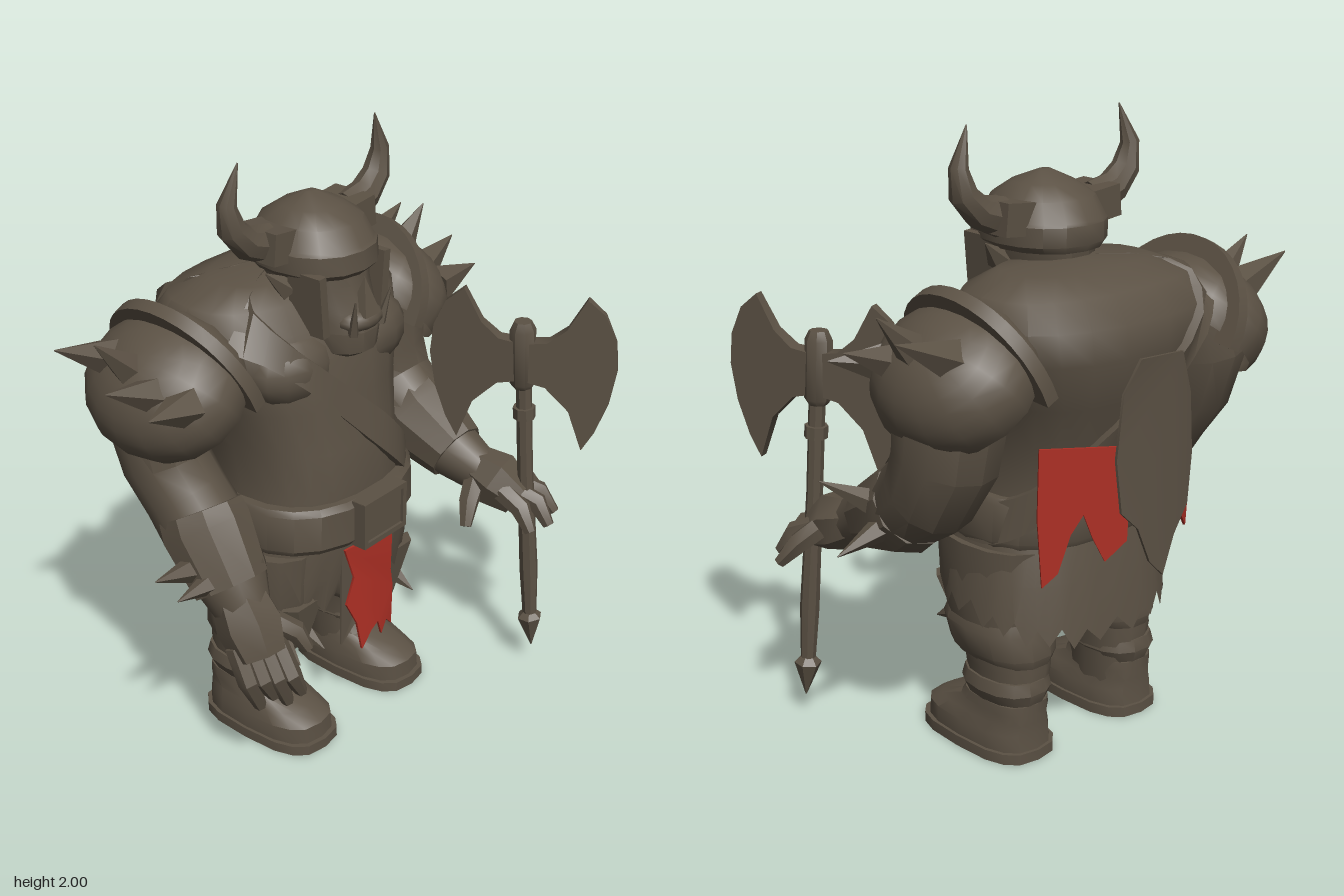
import * as THREE from 'three';
import { toCreasedNormals } from 'three/addons/utils/BufferGeometryUtils.js';

const brown = new THREE.MeshStandardMaterial({ color: 0x5b5144, side: THREE.DoubleSide });
brown.name = 'dark brown';
const red = new THREE.MeshStandardMaterial({ color: 0xac2f24, side: THREE.DoubleSide });
red.name = 'red cloth';
const V = (x, y, z) => new THREE.Vector3(x, y, z);

// Skin a list of equal rings into a capped solid
function skin(rings) {
  const n = rings[0].length, pos = [], idx = [];
  rings.forEach(r => r.forEach(p => pos.push(p.x, p.y, p.z)));
  for (let i = 0; i < rings.length - 1; i++) for (let j = 0; j < n; j++) {
    const a = i * n + j, b = i * n + (j + 1) % n;
    idx.push(a, b, a + n, b, b + n, a + n);
  }
  [0, rings.length - 1].forEach((k, end) => {
    const c = rings[k].reduce((s, p) => s.add(p), V(0, 0, 0)).divideScalar(n);
    const ci = pos.length / 3;
    pos.push(c.x, c.y, c.z);
    for (let j = 0; j < n; j++) {
      const a = k * n + j, b = k * n + (j + 1) % n;
      if (end) idx.push(a, b, ci); else idx.push(b, a, ci);
    }
  });
  const g = new THREE.BufferGeometry();
  g.setAttribute('position', new THREE.Float32BufferAttribute(pos, 3));
  g.setIndex(idx);
  return g;
}

// Rounded-square outline point; section = [y, halfWidth, zFront, zBack]
function outline([y, w, zf, zb], a, p = 2.5, off = 0, cx = 0) {
  const f = t => Math.sign(t) * Math.abs(t) ** (2 / p);
  return V(cx + (w + off) * f(Math.cos(a)), y, (zf + zb) / 2 - ((zf - zb) / 2 + off) * f(Math.sin(a)));
}
const loft = (sections, n = 18, p = 2.5, cx = 0) => skin(sections.map(s =>
  Array.from({ length: n }, (_, j) => outline(s, j / n * Math.PI * 2, p, 0, cx))));

// Tapered limb through stations [x, y, z, radius]
function limb(st, n = 9, ref = V(1, 0, 0)) {
  const c = st.map(s => V(s[0], s[1], s[2]));
  return skin(st.map((s, i) => {
    const t = c[Math.min(i + 1, c.length - 1)].clone().sub(c[Math.max(i - 1, 0)]).normalize();
    const u = ref.clone().cross(t).normalize(), v = t.clone().cross(u);
    return Array.from({ length: n }, (_, j) => {
      const a = j / n * Math.PI * 2;
      return c[i].clone().addScaledVector(u, s[3] * Math.cos(a)).addScaledVector(v, s[3] * Math.sin(a));
    });
  }));
}

// Flat plate from an outline; bend curves its sides along z
function plate(pts, depth = 0.008, bend = 0) {
  const shape = new THREE.Shape(pts.map(p => new THREE.Vector2(p[0], p[1])));
  const g = new THREE.ExtrudeGeometry(shape, { depth, bevelEnabled: false });
  const p = g.attributes.position;
  for (let i = 0; i < p.count; i++) p.setZ(i, p.getZ(i) + bend * p.getX(i) ** 2);
  return g;
}

const torso = [[0.6, 0.3, 0.08, -0.38], [0.75, 0.32, 0.12, -0.41], [0.9, 0.305, 0.13, -0.43],
  [1.05, 0.305, 0.11, -0.47], [1.2, 0.35, 0.08, -0.53], [1.35, 0.41, 0.06, -0.57],
  [1.45, 0.43, 0.02, -0.565], [1.53, 0.39, -0.04, -0.5], [1.575, 0.26, -0.1, -0.4], [1.59, 0.05, -0.2, -0.3]];
function torsoAt(y) {
  let i = 0;
  while (i < torso.length - 2 && torso[i + 1][0] < y) i++;
  const k = THREE.MathUtils.clamp((y - torso[i][0]) / (torso[i + 1][0] - torso[i][0]), 0, 1);
  return torso[i].map((v, m) => v + (torso[i + 1][m] - v) * k);
}

export function createModel() {
  const root = new THREE.Group();
  root.name = 'hornedWarrior';
  const add = (name, geo, mat = brown, crease = 0.6) => {
    const m = new THREE.Mesh(toCreasedNormals(geo, crease), mat);
    m.name = name;
    root.add(m);
    return m;
  };
  const spike = (name, a, b, r) => add(name, limb([[...a, r], [...b, 0.002]], 5, V(0.1, 0.3, 1)));
  const ball = (name, x, y, z, rx, ry, rz) =>
    add(name, new THREE.SphereGeometry(1, 14, 9).scale(rx, ry, rz).translate(x, y, z), brown, 0.9);

  // Torso and bandolier
  add('torso', loft(torso, 22), brown, 0.8);
  add('strap', skin(Array.from({ length: 41 }, (_, i) => {
    const a = i / 40 * Math.PI * 2;
    let y = 1.15;
    for (let k = 0; k < 25; k++) y = (y + 1.13 - 1.05 * outline(torsoAt(y), a).x) / 2;
    return [[0.025, 0.07], [0.025, -0.07], [-0.04, -0.07], [-0.04, 0.07]].map(([o, w]) => outline(torsoAt(y + w), a, 2.5, o));
  })));

  // Belt and buckle
  add('belt', loft([[0.73, 0.34, 0.15, -0.42], [0.75, 0.35, 0.165, -0.43], [0.87, 0.345, 0.165, -0.435], [0.89, 0.335, 0.15, -0.425]], 20));
  add('buckle', new THREE.BoxGeometry(0.2, 0.15, 0.04).translate(-0.005, 0.81, 0.17));
  for (const e of [-1, 1]) {
    add('buckleFrame', new THREE.BoxGeometry(0.21, 0.018, 0.055).translate(-0.005, 0.81 + e * 0.072, 0.172));
    add('buckleFrame', new THREE.BoxGeometry(0.018, 0.16, 0.055).translate(-0.005 + e * 0.097, 0.81, 0.172));
  }

  // Ragged skirt, open at the front
  const N = 44, sp = [], si = [];
  for (let i = 0; i <= N; i++) {
    const a = -Math.PI / 2 + 0.3 + i / N * (Math.PI * 2 - 0.6);
    const hem = 0.51 - 0.08 * Math.max(0, Math.sin(a)) + [0.03, -0.02, 0.04, -0.03][i % 4];
    [[0.76, 0.335, 0.14, -0.41], [0.62, 0.36, 0.13, -0.44], [hem, 0.37, 0.11, -0.46]].forEach(s => sp.push(...outline(s, a).toArray()));
    if (i < N) for (let k = 0; k < 2; k++) {
      const q = i * 3 + k;
      si.push(q, q + 1, q + 3, q + 1, q + 4, q + 3);
    }
  }
  const skirt = new THREE.BufferGeometry();
  skirt.setAttribute('position', new THREE.Float32BufferAttribute(sp, 3));
  skirt.setIndex(si);
  add('skirt', skirt);

  // Loincloth and back cloths
  add('loincloth', plate([[-0.13, 0.71], [-0.1, 0.6], [-0.125, 0.5], [-0.09, 0.42], [-0.07, 0.31], [-0.03, 0.37], [0, 0.39],
    [0.02, 0.33], [0.05, 0.37], [0.09, 0.33], [0.1, 0.48], [0.08, 0.55], [0.09, 0.71]], 0.008, -2), red).position.z = 0.16;
  add('loinclothLining', plate([[-0.13, 0.74], [-0.13, 0.34], [-0.08, 0.42], [0.06, 0.45], [0.105, 0.37], [0.1, 0.74]], 0.008, -2)).position.z = 0.146;
  add('backFlap', plate([[-0.1, 1.34], [-0.15, 1.2], [-0.17, 1.0], [-0.15, 0.84], [-0.08, 0.76], [-0.03, 0.64], [0.03, 0.7], [0.08, 0.82],
    [0.14, 0.88], [0.16, 1.05], [0.14, 1.25], [0.08, 1.35]], 0.009, 0.8)).position.set(-0.025, 0, -0.597);
  // the back cloths turn forward round the hips
  const tatters = {
    '1': [[0, 0], [0.29, 0.02], [0.295, -0.2], [0.28, -0.42], [0.23, -0.38], [0.19, -0.26], [0.15, -0.2], [0.12, -0.28], [0.08, -0.36], [0.01, -0.3]],
    '-1': [[0, -0.06], [0.27, 0], [0.26, -0.12], [0.275, -0.22], [0.25, -0.38], [0.19, -0.31], [0.13, -0.27], [0.06, -0.29], [0, -0.26]],
  };
  for (const s of [1, -1]) {
    const m = add('backCloth', plate(tatters[s].map(([x, y]) => [s * x, y])), red);
    m.position.set(s * 0.065, 1.08, -0.57);
    m.rotation.y = -s * 0.42;
  }

  // Head: face, helmet, guards, tusks, horns
  add('head', loft([[1.34, 0.05, 0.07, -0.05], [1.37, 0.1, 0.12, -0.1], [1.44, 0.125, 0.13, -0.2], [1.5, 0.125, 0.11, -0.24],
    [1.58, 0.14, 0.08, -0.28], [1.7, 0.15, 0.07, -0.28]], 14, 2.2));
  add('helmet', loft([[1.61, 0.165, 0.08, -0.3], [1.63, 0.185, 0.1, -0.31], [1.69, 0.185, 0.095, -0.31], [1.7, 0.175, 0.085, -0.305],
    [1.76, 0.15, 0.05, -0.27], [1.8, 0.095, -0.01, -0.21], [1.835, 0.02, -0.1, -0.13]], 16, 2.2));
  add('nose', new THREE.ConeGeometry(0.05, 0.12, 4).rotateY(Math.PI / 4).translate(0, 1.55, 0.1));
  ball('lip', 0, 1.47, 0.08, 0.09, 0.04, 0.06);
  for (const s of [1, -1]) {
    add('cheekGuard', new THREE.BoxGeometry(0.03, 0.2, 0.13).rotateZ(s * -0.08).translate(s * 0.145, 1.54, 0.0));
    spike('ear', [s * 0.15, 1.57, -0.08], [s * 0.225, 1.635, -0.1], 0.04);
    spike('tusk', [s * 0.065, 1.44, 0.11], [s * 0.085, 1.56, 0.135], 0.018);
    add('hornSocket', new THREE.BoxGeometry(0.14, 0.1, 0.16).rotateZ(s * 0.1).translate(s * 0.165, 1.715, -0.13));
    add('horn', limb([[s * 0.19, 1.715, -0.13, 0.062], [s * 0.28, 1.745, -0.13, 0.052], [s * 0.335, 1.8, -0.13, 0.045],
      [s * 0.352, 1.88, -0.13, 0.03], [s * 0.312, 2, -0.12, 0.002]], 8, V(0, 0, 1)));
    ball('chest', s * 0.17, 1.33, -0.06, 0.18, 0.13, 0.125);
  }

  // Shoulder pads, rims and spikes
  for (const s of [1, -1]) {
    const dome = new THREE.SphereGeometry(1, 16, 9, 0, Math.PI * 2, 0, Math.PI * 0.6).scale(0.24, 0.2, 0.28);
    add('shoulderPad', dome.rotateZ(-s * 0.75).translate(s * 0.495, 1.31, -0.27));
    const arc = new THREE.Shape();
    arc.absarc(0, 0, 0.292, -0.1, Math.PI + 0.1, false);
    arc.absarc(0, 0, 0.22, Math.PI + 0.1, -0.1, true);
    const rim = new THREE.ExtrudeGeometry(arc, { depth: 0.045, bevelEnabled: false, curveSegments: 9 }).translate(0, 0, -0.022);
    add('padRim', rim.rotateY(Math.PI / 2).rotateZ(-s * 0.45).translate(s * 0.395, 1.31, -0.275));
    [[0.6, 1.41, -0.38, 0.81, 1.5, -0.4], [0.61, 1.39, -0.27, 0.77, 1.54, -0.27], [0.62, 1.36, -0.17, 0.82, 1.43, -0.18],
      [0.6, 1.34, -0.08, 0.78, 1.37, -0.05]].forEach(([x, y, z, X, Y, Z]) =>
      spike('padSpike', [s * x, y, z], [s * X, Y, Z], 0.068));
  }

  // Right arm hangs
  add('rightArm', limb([[-0.47, 1.42, -0.28, 0.14], [-0.52, 1.22, -0.29, 0.165], [-0.52, 1.07, -0.26, 0.14], [-0.51, 0.97, -0.19, 0.135],
    [-0.5, 0.87, -0.12, 0.14], [-0.51, 0.74, -0.01, 0.12], [-0.52, 0.65, 0.05, 0.09]], 12));
  add('rightBracer', limb([[-0.505, 0.93, -0.14, 0.14], [-0.51, 0.88, -0.11, 0.148], [-0.52, 0.72, 0, 0.125]], 10));
  spike('bracerSpike', [-0.62, 0.8, -0.06], [-0.78, 0.83, -0.06], 0.045);
  spike('bracerSpike', [-0.61, 0.77, 0], [-0.75, 0.77, 0.0], 0.04);
  add('rightPalm', limb([[-0.52, 0.69, 0.03, 0.09], [-0.525, 0.61, 0.08, 0.108], [-0.53, 0.52, 0.13, 0.085]], 7));
  for (let i = 0; i < 4; i++) {
    const x = -0.59 + i * 0.037;
    add('rightFinger', limb([[x, 0.56, 0.08 + i * 0.02, 0.036], [x, 0.45, 0.13 + i * 0.025, 0.036], [x + 0.05, 0.33 + i % 2 * 0.03, 0.13 + i * 0.025, 0.02]], 6));
  }
  add('rightThumb', limb([[-0.48, 0.62, 0.11, 0.04], [-0.42, 0.57, 0.18, 0.035], [-0.4, 0.51, 0.21, 0.02]], 6));

  // Left arm reaches forward to the axe
  add('leftArm', limb([[0.48, 1.42, -0.28, 0.14], [0.52, 1.24, -0.29, 0.175], [0.53, 1.08, -0.27, 0.165], [0.54, 0.96, -0.21, 0.15],
    [0.53, 0.87, -0.08, 0.135], [0.52, 0.79, 0.09, 0.1], [0.53, 0.74, 0.2, 0.075]], 12));
  add('leftBracer', limb([[0.54, 0.91, -0.14, 0.14], [0.53, 0.87, -0.08, 0.148], [0.52, 0.79, 0.09, 0.11]], 10));
  spike('bracerSpike', [0.63, 0.9, -0.06], [0.77, 0.98, 0.03], 0.045);
  spike('bracerSpike', [0.63, 0.84, -0.1], [0.82, 0.8, -0.12], 0.045);
  add('leftPalm', limb([[0.53, 0.76, 0.16, 0.075], [0.54, 0.73, 0.25, 0.1], [0.56, 0.68, 0.33, 0.07]], 7));
  [[0.5, 0.43, 0.49], [0.57, 0.45, 0.57], [0.64, 0.41, 0.66], [0.68, 0.33, 0.72]].forEach(([x, z, X], i) =>
    add('leftFinger', limb([[0.5 + i * 0.04, 0.72, 0.3 - i * 0.015, 0.038], [x, 0.68, z - 0.05, 0.036], [X, 0.61, z, 0.02]], 6)));
  add('leftThumb', limb([[0.48, 0.73, 0.2, 0.04], [0.42, 0.68, 0.22, 0.035], [0.38, 0.61, 0.24, 0.02]], 6));

  // Axe
  add('axeShaft', limb([[0.545, 1.3, 0.32, 0.027], [0.565, 0.8, 0.345, 0.027], [0.585, 0.4, 0.37, 0.032], [0.592, 0.22, 0.38, 0.025]], 8));
  add('axePommel', limb([[0.592, 0.22, 0.38, 0.025], [0.594, 0.2, 0.38, 0.045], [0.6, 0.08, 0.39, 0.002]], 6));
  add('axeSocket', limb([[0.543, 1.34, 0.32, 0.03], [0.544, 1.31, 0.32, 0.044], [0.552, 1.12, 0.325, 0.044], [0.553, 1.1, 0.325, 0.03]], 8));
  add('axeCollar', limb([[0.556, 1.03, 0.333, 0.038], [0.558, 0.99, 0.335, 0.038]], 8));
  for (const s of [1, -1]) {
    const blade = plate([[0, 1.27], [0.08, 1.28], [0.14, 1.33], [0.2, 1.44], [0.26, 1.39], [0.3, 1.3], [0.31, 1.2],
      [0.29, 1.08], [0.25, 0.97], [0.21, 0.9], [0.16, 1.04], [0.08, 1.12], [0, 1.14]].map(([x, y]) => [s * x, y]), 0.05).translate(0, 0, -0.025);
    // taper toward the cutting edge
    const p = blade.attributes.position;
    for (let i = 0; i < p.count; i++) p.setZ(i, p.getZ(i) * (1.3 - 3.2 * Math.abs(p.getX(i))));
    add('axeBlade', blade.rotateY(-1.125).translate(0.547, 0, 0.325));
  }

  // Legs, boots and knee cuffs
  for (const s of [1, -1]) {
    const cx = s > 0 ? 0.225 : -0.243;
    add('leg', loft([[0.1, 0.1, -0.04, -0.32], [0.2, 0.105, -0.055, -0.32], [0.3, 0.115, -0.04, -0.335], [0.42, 0.13, 0.03, -0.32],
      [0.55, 0.145, 0.07, -0.34], [0.72, 0.15, 0.08, -0.36]], 14, 2.3, cx - s * 0.01));
    add('boot', loft([[0.03, 0.125, 0.13, -0.335], [0.09, 0.125, 0.125, -0.33], [0.125, 0.11, 0.07, -0.33], [0.16, 0.105, -0.03, -0.33], [0.19, 0.1, -0.05, -0.33]], 16, 2.8, cx));
    add('sole', loft([[0, 0.135, 0.145, -0.345], [0.035, 0.135, 0.145, -0.345]], 16, 3, cx));
    add('bootWrap', loft([[0.19, 0.1, -0.045, -0.33], [0.23, 0.12, -0.035, -0.345], [0.27, 0.11, -0.045, -0.335]], 14, 2.3, cx));
    add('kneeCuff', loft([[0.32, 0.115, 0, -0.34], [0.35, 0.135, 0.03, -0.35], [0.43, 0.145, 0.055, -0.34], [0.47, 0.13, 0.04, -0.33]], 14, 2.3, cx + s * -0.012));
    for (const d of [-0.07, 0.03]) spike('cuffSpike', [cx + d, 0.4, 0.03], [cx + d * 1.2, 0.36, 0.11], 0.03);
    add('kneePlate', new THREE.ConeGeometry(0.1, 0.2, 5).rotateX(Math.PI).scale(1, 1, 0.4).translate(cx, 0.44, 0.05));
  }
  return root;
}
